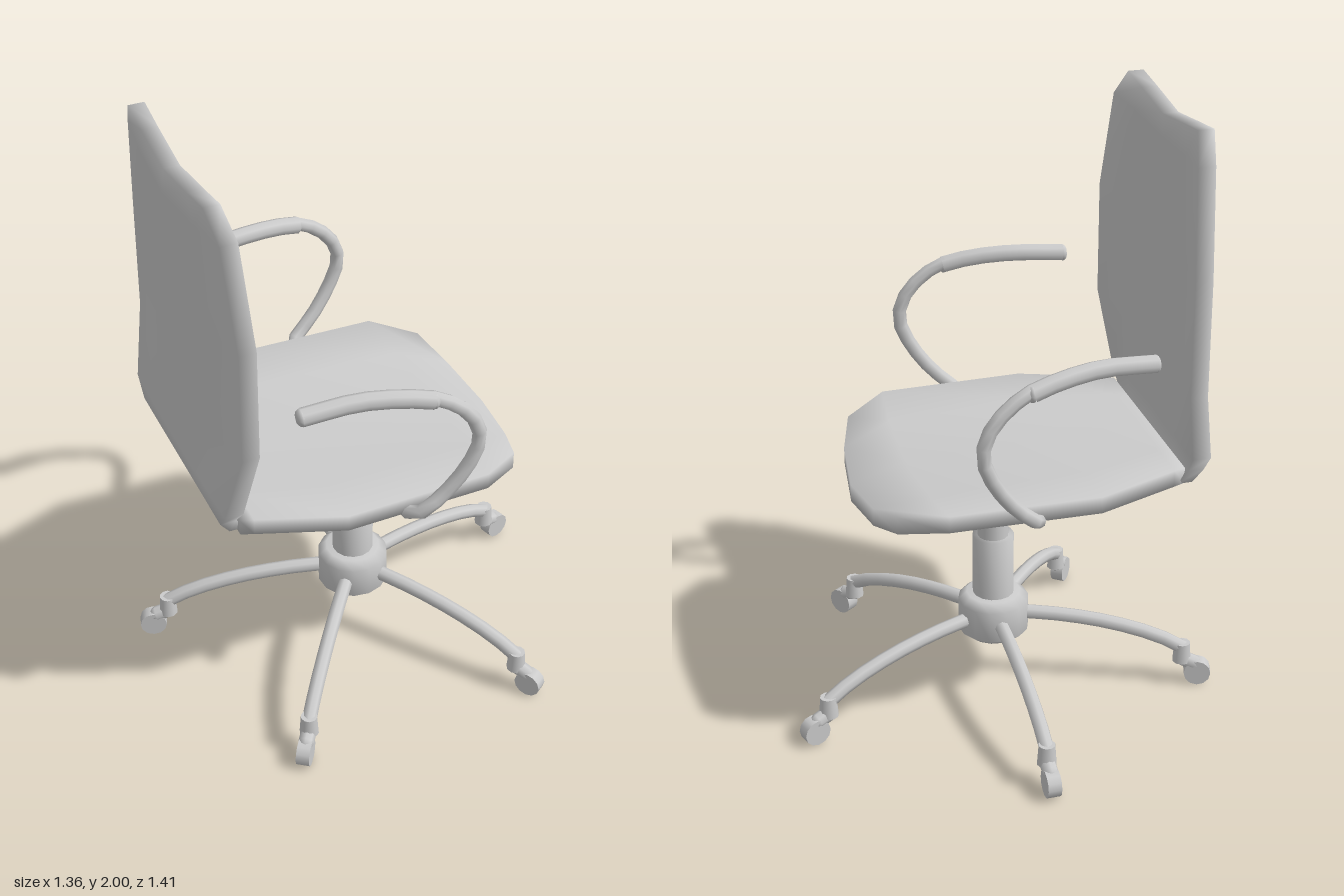
import * as THREE from 'three';

const material = new THREE.MeshStandardMaterial({ color: 0xcccccc });

function add(parent, name, geometry, position = [0, 0, 0]) {
  const mesh = new THREE.Mesh(geometry, material);
  mesh.name = name;
  mesh.position.set(...position);
  parent.add(mesh);
  return mesh;
}

// Positions across a padded panel
const across = [-1, -0.6, 0, 0.6, 1];

// Closed soft panel lofted through rings; each ring runs over the face and back along the rear
function panel(rows, point) {
  const rings = rows.map((row) => [
    ...across.map((t) => point(row, t, 1)),
    ...[...across].reverse().map((t) => point(row, t, -1)),
  ]);
  const n = across.length * 2;
  const last = (rows.length - 1) * n;
  const index = [];
  for (let i = 0; i < rows.length - 1; i++) {
    for (let j = 0; j < n; j++) {
      const a = i * n + j, b = i * n + ((j + 1) % n);
      index.push(a, a + n, b, b, a + n, b + n);
    }
  }
  for (let j = 0; j < n / 2 - 1; j++) {
    const a = j, b = j + 1, c = n - 2 - j, d = n - 1 - j;
    index.push(a, b, c, a, c, d);
    index.push(last + a, last + c, last + b, last + a, last + d, last + c);
  }
  const geometry = new THREE.BufferGeometry();
  geometry.setAttribute('position', new THREE.Float32BufferAttribute(rings.flat(2), 3));
  geometry.setIndex(index);
  geometry.computeVertexNormals();
  return geometry;
}

function tube(points, radius, segments) {
  const curve = new THREE.CatmullRomCurve3(points.map((p) => new THREE.Vector3(...p)));
  return new THREE.TubeGeometry(curve, segments, radius, 8);
}

function lathe(profile) {
  return new THREE.LatheGeometry(profile.map(([r, y]) => new THREE.Vector2(r, y)), 14);
}

function createSeat() {
  // z, half width, forward bow, edge height, centre dip, half thickness
  const rows = [
    [-0.53, 0.345, 0, 0.875, 0, 0.027],
    [-0.49, 0.362, 0, 0.877, 0.004, 0.028],
    [-0.22, 0.462, 0, 0.877, 0.01, 0.028],
    [0.26, 0.452, 0.03, 0.877, 0.035, 0.028],
    [0.4, 0.357, 0.07, 0.845, 0.062, 0.03],
  ];
  return panel(rows, ([z, w, bow, y, dip, h], t, p) => {
    const middle = 1 - t * t;
    return [w * t, y - dip * middle + h * p, z + bow * middle];
  });
}

function createBack() {
  // y, half width, centre z, forward curl of the wings, top notch, half thickness
  const rows = [
    [2.0, 0.31, -0.565, 0.005, 0.045, 0.026],
    [1.91, 0.38, -0.57, 0.03, 0.03, 0.028],
    [1.58, 0.447, -0.573, 0.052, 0, 0.028],
    [1.2, 0.447, -0.573, 0.052, 0, 0.028],
    [0.96, 0.395, -0.565, 0.005, 0, 0.03],
    [0.895, 0.345, -0.562, 0, 0, 0.026],
    [0.85, 0.335, -0.53, 0, 0, 0.025],
  ];
  return panel(rows, ([y, w, z, curl, notch, h], t, p) => [
    w * t, y - notch * (1 - Math.abs(t)), z + curl * t * t + h * p,
  ]);
}

function createArm(side) {
  const arm = new THREE.Group();
  arm.name = side > 0 ? 'rightArm' : 'leftArm';
  const mirror = (points) => points.map(([x, y, z]) => [x * side, y, z]);
  add(arm, 'armLoop', tube(mirror([
    [0.505, 1.33, -0.03], [0.52, 1.315, 0.04], [0.53, 1.23, 0.145], [0.532, 1.14, 0.178],
    [0.53, 1.05, 0.15], [0.515, 0.94, 0.075], [0.495, 0.87, 0], [0.44, 0.845, -0.02],
    [0.3, 0.838, -0.01], [0, 0.835, 0],
  ]), 0.023, 20));
  // Thicker rest with rounded ends
  const rest = mirror([[0.465, 1.335, -0.375], [0.48, 1.347, -0.2], [0.505, 1.335, -0.06], [0.52, 1.315, 0.025]]);
  add(arm, 'armRest', tube(rest, 0.029, 6));
  for (const end of [rest[0], rest[3]]) {
    const cap = add(arm, 'armRestEnd', new THREE.SphereGeometry(0.028, 8, 6), end);
    cap.scale.z = 0.6;
  }
  return arm;
}

function createLeg(angle) {
  const leg = new THREE.Group();
  leg.name = 'leg';
  leg.rotation.y = angle;
  add(leg, 'legTube', tube([
    [0.06, 0.266, 0], [0.22, 0.256, 0], [0.38, 0.231, 0], [0.52, 0.192, 0], [0.6, 0.158, 0], [0.64, 0.135, 0],
  ], 0.024, 8));
  // Caster: collar, fork and wheel
  add(leg, 'casterCollar', new THREE.CylinderGeometry(0.027, 0.032, 0.07, 10), [0.637, 0.12, 0]);
  const fork = add(leg, 'casterFork', new THREE.CapsuleGeometry(0.026, 0.04, 3, 8), [0.658, 0.085, 0]);
  fork.rotation.z = 1.2;
  const wheel = new THREE.CylinderGeometry(0.045, 0.045, 0.044, 12);
  wheel.rotateX(Math.PI / 2);
  add(leg, 'casterWheel', wheel, [0.69, 0.046, 0]);
  return leg;
}

export function createModel() {
  const chair = new THREE.Group();
  chair.name = 'officeChair';
  chair.position.set(0.056, 0, -0.002);

  // Swivelling upper part
  const upper = new THREE.Group();
  upper.name = 'upper';
  upper.rotation.y = 1.936;
  add(upper, 'seat', createSeat());
  add(upper, 'backrest', createBack(), [0.014, 0, 0]);
  upper.add(createArm(1), createArm(-1));
  chair.add(upper);

  // Column, with mounting cap above and hub below
  add(chair, 'seatMount', lathe([[0, 0.8], [0.065, 0.8], [0.09, 0.82], [0.09, 0.852], [0, 0.852]]));
  add(chair, 'piston', lathe([[0.051, 0.5], [0.051, 0.82]]));
  add(chair, 'columnSleeve', lathe([[0.069, 0.3], [0.069, 0.56], [0, 0.56]]));
  add(chair, 'hub', lathe([
    [0, 0.185], [0.085, 0.185], [0.118, 0.212], [0.118, 0.32], [0.09, 0.345], [0, 0.345],
  ]));

  // Five-star base
  for (let i = 0; i < 5; i++) {
    chair.add(createLeg(Math.PI * (1.013 + 0.4 * i)));
  }
  return chair;
}
